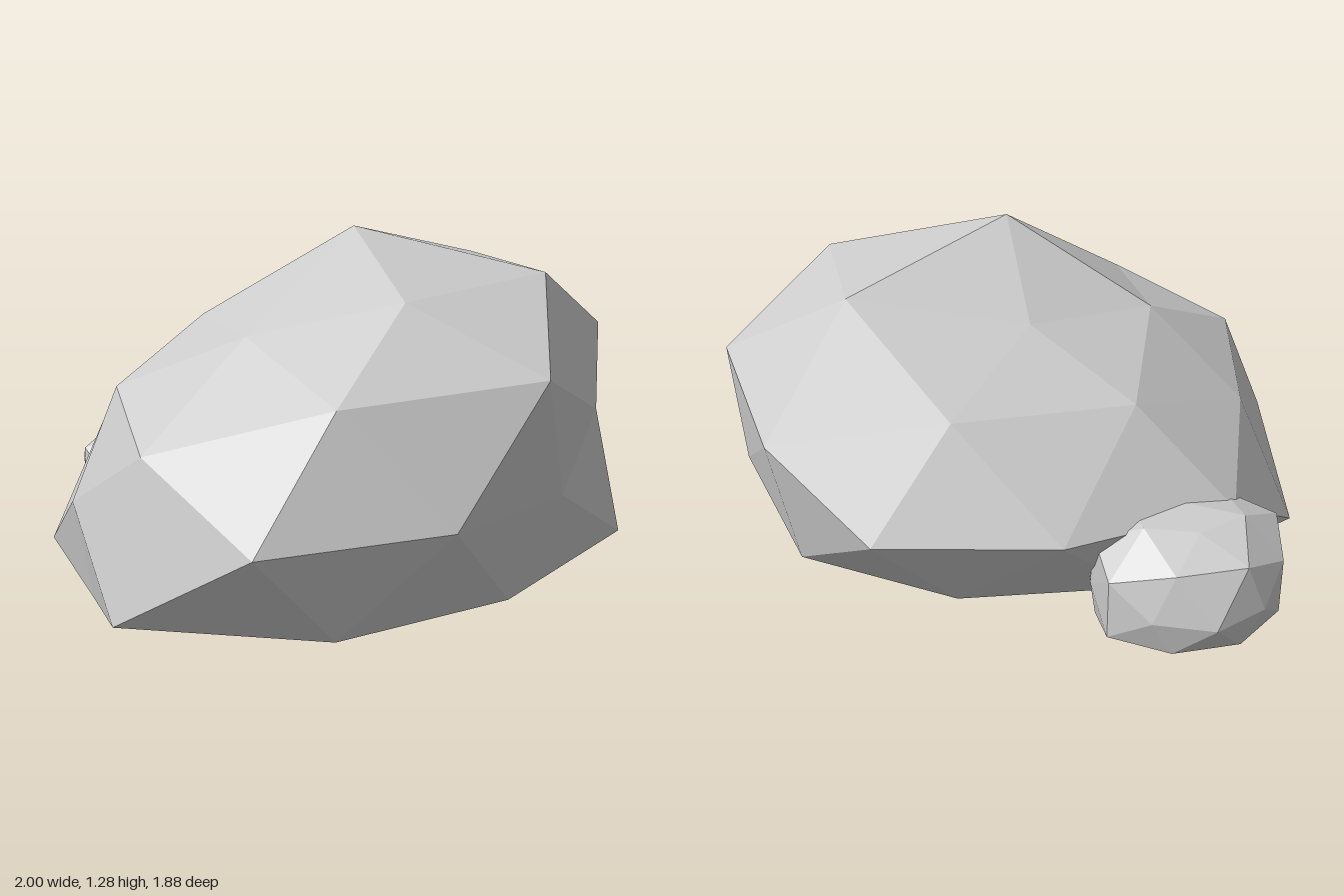
import * as THREE from 'three';

const A = 0.526, B = 0.851; // icosahedron corner
const P = 0.309, Q = 0.5, R = 0.809; // edge midpoints

const FAMILIES = [
  [1, 0, 0], [0, 1, 0], [0, 0, 1],
  [B, A, 0], [0, B, A], [A, 0, B],
  [Q, R, P], [P, Q, R], [R, P, Q],
];

// Mirrors a direction through every sign; + before -, x slowest and z fastest
function mirrored(dir) {
  let out = [[]];
  for (const c of dir) {
    out = out.flatMap((d) => (c === 0 ? [[...d, 0]] : [[...d, c], [...d, -c]]));
  }
  return out.map((d) => new THREE.Vector3(...d));
}

// A low-poly boulder: a split icosahedron with uneven radii and a flattened underside
function boulder(name, center, stretchX, floor, squash, radii) {
  const knobs = FAMILIES.flatMap((dir, f) =>
    mirrored(dir).map((d, i) => ({ d, r: radii[f][i] })));
  const geo = new THREE.IcosahedronGeometry(1, 1);
  geo.rotateY(Math.PI / 2);
  const pos = geo.attributes.position;
  const v = new THREE.Vector3();
  for (let i = 0; i < pos.count; i++) {
    v.fromBufferAttribute(pos, i);
    const { r } = knobs.find((k) => k.d.distanceTo(v) < 0.1);
    v.multiplyScalar(r);
    v.x *= stretchX;
    if (v.y < -floor) v.y = -floor + (v.y + floor) * squash;
    pos.setXYZ(i, v.x, v.y, v.z);
  }
  geo.computeVertexNormals();
  const mesh = new THREE.Mesh(geo,
    new THREE.MeshStandardMaterial({ color: 0xcccccc, flatShading: true }));
  mesh.name = name;
  mesh.position.set(...center);
  return mesh;
}

export function createModel() {
  const group = new THREE.Group();
  group.name = 'rocks';

  // Main boulder
  group.add(boulder('largeRock', [0, 0.43, 0.16], 1.4, 0.335, 0.185, [
    [0.686, 0.714], [0.85, 0.85], [0.78, 0.85],
    [0.84, 0.697, 0.705, 0.79],
    [0.765, 0.69, 0.78, 0.75],
    [0.68, 0.83, 0.89, 0.86],
    [0.855, 0.86, 0.8, 0.8, 0.67, 0.675, 0.79, 0.79],
    [0.85, 0.735, 0.71, 0.7, 0.765, 0.72, 0.8, 0.78],
    [0.685, 0.805, 0.765, 0.72, 0.77, 0.69, 0.875, 0.865],
  ]));

  // Small stone leaning on the back
  group.add(boulder('smallRock', [-0.45, 0.21, -0.575], 1.12, 0.115, 0.25, [
    [0.29, 0.3], [0.27, 0.3], [0.33, 0.365],
    [0.33, 0.32, 0.35, 0.35],
    [0.29, 0.29, 0.31, 0.31],
    [0.33, 0.33, 0.33, 0.33],
    [0.3, 0.315, 0.31, 0.31, 0.3, 0.315, 0.31, 0.31],
    [0.32, 0.35, 0.32, 0.345, 0.32, 0.355, 0.32, 0.345],
    [0.31, 0.345, 0.31, 0.345, 0.32, 0.33, 0.36, 0.33],
  ]));

  return group;
}
